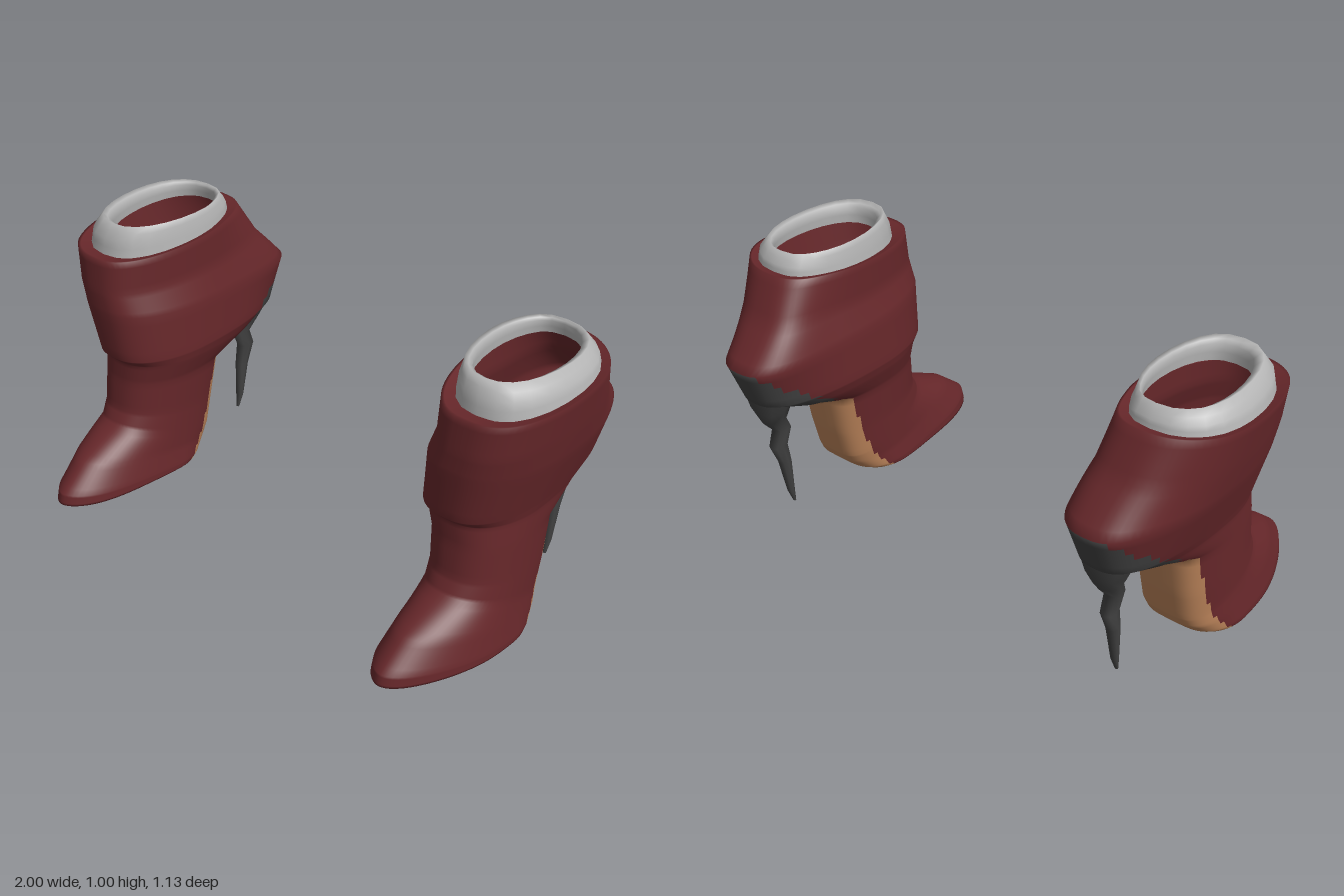
import * as THREE from 'three';

const mat = (name, color) => {
  const m = new THREE.MeshStandardMaterial({ color, side: THREE.DoubleSide });
  m.name = name;
  return m;
};

// Each ring: [front z, front y, back z, back y, x min, x max, widest z, front power, back power]
const SHELL = [
  [0.21, 0.89, -0.32, 0.92, 0.62, 0.97, -0.08, 0.8, 0.8],   // ledge under the cuff
  [0.27, 0.90, -0.36, 0.93, 0.59, 1.00, -0.08, 0.75, 0.8],  // top edge
  [0.28, 0.78, -0.44, 0.79, 0.59, 0.98, -0.08, 0.75, 0.7],
  [0.28, 0.70, -0.57, 0.65, 0.56, 0.96, -0.06, 0.75, 0.75], // rear point
  [0.265, 0.52, -0.51, 0.50, 0.55, 0.91, -0.03, 0.8, 0.75],
  [0.235, 0.49, -0.38, 0.45, 0.56, 0.90, 0.0, 0.8, 0.6],    // heel seat
  [0.235, 0.41, -0.19, 0.38, 0.59, 0.90, 0.03, 0.8, 0.5],
  [0.25, 0.29, -0.16, 0.22, 0.60, 0.90, 0.05, 0.85, 0.5],
  [0.28, 0.24, -0.13, 0.10, 0.60, 0.90, 0.07, 0.9, 0.5],
  [0.45, 0.165, -0.11, 0.06, 0.60, 0.91, 0.08, 1.05, 0.55],
  [0.555, 0.08, -0.07, 0.02, 0.59, 0.92, 0.09, 1.1, 0.6],
  [0.565, 0.04, -0.05, 0.01, 0.59, 0.92, 0.10, 1.1, 0.6],
  [0.50, 0.03, -0.02, 0.0, 0.75, 0.75, 0.10, 1, 1],         // sole centre line
];
const CUFF = [
  [0.215, 0.89, -0.325, 0.92, 0.615, 0.975, -0.08, 0.8, 0.8],
  [0.205, 0.95, -0.32, 0.95, 0.62, 0.965, -0.08, 0.8, 0.8],
  [0.175, 1.00, -0.29, 0.99, 0.63, 0.93, -0.08, 0.8, 0.8],
  [0.145, 0.98, -0.28, 0.975, 0.65, 0.905, -0.08, 0.8, 0.8],
  [0.145, 0.92, -0.29, 0.93, 0.645, 0.91, -0.08, 0.8, 0.8],
];
// Stiletto: [y, front z, back z, half width]
const HEEL = [
  [0.50, -0.36, -0.51, 0.09], [0.45, -0.375, -0.50, 0.07], [0.40, -0.385, -0.478, 0.045],
  [0.345, -0.36, -0.43, 0.03], [0.28, -0.38, -0.455, 0.025], [0.2, -0.37, -0.42, 0.022],
  [0.06, -0.365, -0.39, 0.014], [0.01, -0.36, -0.37, 0.006],
].map(([y, f, b, w]) => [f, y, b, y, 0.73 - w, 0.73 + w, (f + b) / 2, 0.8, 0.8]);

// Skin the rings; pick(z, y, ring, angle from back) gives the material slot of a face
function loft(rings, seg, sub, side, pick = () => 0, slots = 1) {
  const pos = [];
  const rows = (rings.length - 1) * sub + 1;
  for (let r = 0; r < rows; r++) {
    const k = Math.min(Math.floor(r / sub), rings.length - 2);
    const t = r / sub - k;
    const [zf, yf, zb, yb, x0, x1, zc, pf, pb] =
      rings[k].map((v, i) => v + (rings[k + 1][i] - v) * t);
    for (let i = 0; i < seg; i++) {
      const a = (i / seg) * Math.PI * 2, c = Math.cos(a), s = Math.sin(a);
      const z = zc + c * (c > 0 ? zf - zc : zc - zb);
      const mid = (x0 + x1) / 2;
      // toe and heel lean towards the inner side
      const lean = (0.73 - mid) * THREE.MathUtils.smoothstep(Math.abs(z), 0.2, 0.55);
      const x = mid + lean + ((x1 - x0) / 2) * Math.sign(s) * Math.abs(s) ** (c > 0 ? pf : pb);
      pos.push(side * x, yf + ((yb - yf) * (zf - z)) / (zf - zb), z);
    }
  }
  const lists = Array.from({ length: slots }, () => []);
  for (let r = 0; r < rows - 1; r++) {
    for (let i = 0; i < seg; i++) {
      const n = (i + 1) % seg;
      const a = r * seg + i, b = a + seg, c = r * seg + n, d = c + seg;
      const mean = (o) => [a, b, c, d].reduce((sum, v) => sum + pos[v * 3 + o] / 4, 0);
      const back = Math.abs(((i + 0.5) / seg) * Math.PI * 2 - Math.PI);
      const list = lists[pick(mean(2), mean(1), (r + 0.5) / sub, back)];
      if (side > 0) list.push(a, b, c, c, b, d);
      else list.push(a, c, b, c, d, b);
    }
  }
  const g = new THREE.BufferGeometry();
  g.setAttribute('position', new THREE.Float32BufferAttribute(pos, 3));
  g.setIndex(lists.flat());
  let start = 0;
  lists.forEach((l, i) => {
    g.addGroup(start, l.length, i);
    start += l.length;
  });
  g.computeVertexNormals();
  return g;
}

// 0 leather, 1 sole, 2 heel counter
function shellColour(z, y, ring, back) {
  if (ring > 11) return 1;
  if (ring > 5 && back < 0.6 + 0.09 * (ring - 5)) return 1;
  if (ring > 3 && z < -0.23 && y < 0.44 - (z + 0.25) * 0.65) return 2;
  return 0;
}

export function createModel() {
  const leather = mat('dark red leather', 0x66272a);
  const sole = mat('tan sole', 0xb88158);
  const black = mat('charcoal heel', 0x414141);
  const cuffGrey = mat('light grey cuff', 0xb4b4b4);

  const model = new THREE.Group();
  model.name = 'pairOfBoots';
  for (const side of [1, -1]) {
    const boot = new THREE.Group();
    boot.name = side > 0 ? 'leftBoot' : 'rightBoot';
    const add = (name, geometry, material) => {
      const m = new THREE.Mesh(geometry, material);
      m.name = name;
      boot.add(m);
    };
    add('upperAndSole', loft(SHELL, 72, 5, side, shellColour, 3), [leather, sole, black]);
    add('cuff', loft(CUFF, 24, 2, side), cuffGrey);
    add('stilettoHeel', loft(HEEL, 8, 1, side), black);
    model.add(boot);
  }
  return model;
}
